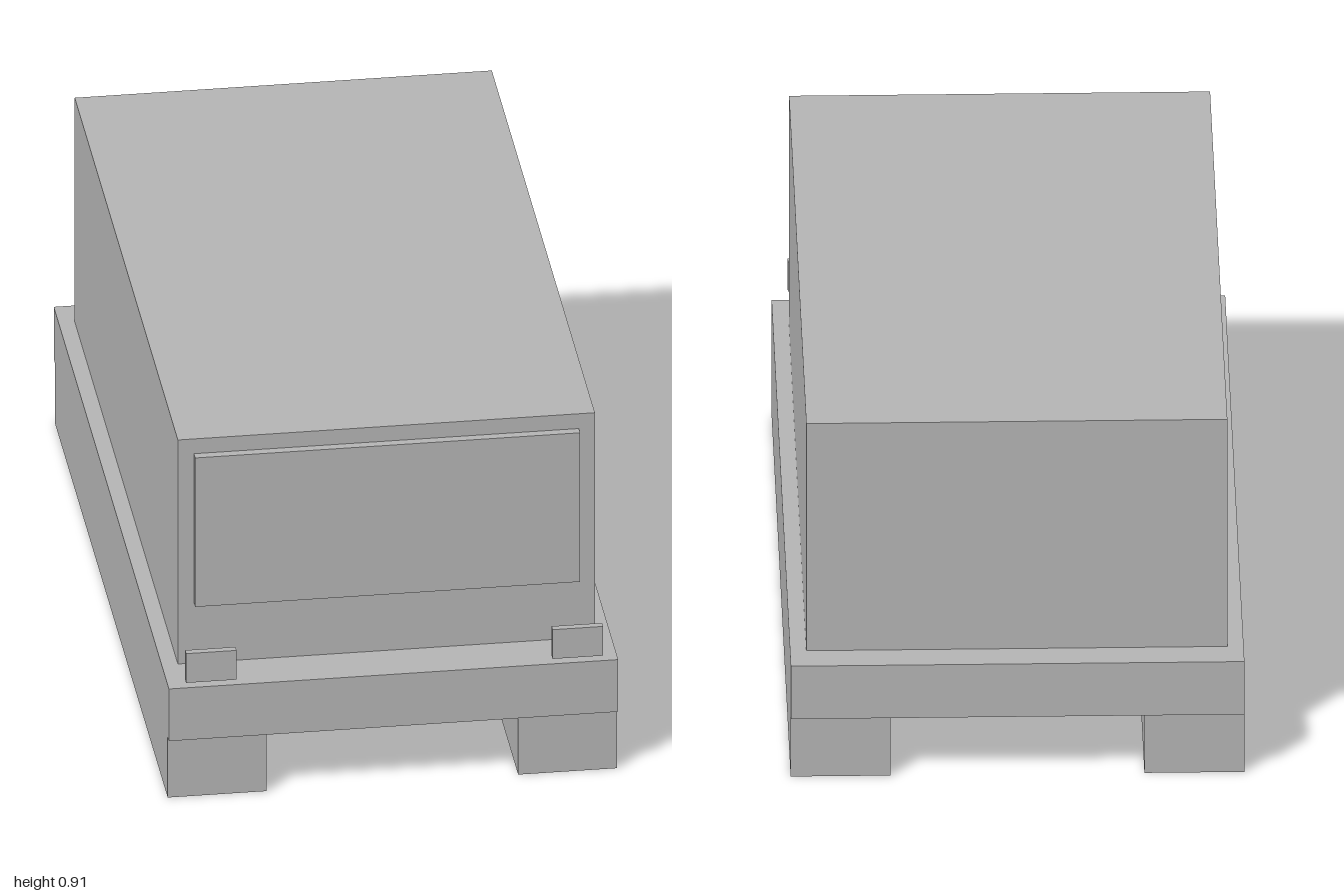
import * as THREE from 'three';

export function createModel() {
  const group = new THREE.Group();
  const grey = new THREE.MeshStandardMaterial({ color: 0xb4b4b4 });
  grey.name = 'grey';

  // Box given by its extents along each axis
  function box(name, [x0, x1], [y0, y1], [z0, z1]) {
    const mesh = new THREE.Mesh(new THREE.BoxGeometry(x1 - x0, y1 - y0, z1 - z0), grey);
    mesh.position.set((x0 + x1) / 2, (y0 + y1) / 2, (z0 + z1) / 2);
    mesh.name = name;
    group.add(mesh);
  }

  // Hull and deck
  box('deck', [-0.543, 0.543], [0.163, 0.304], [-1, 0.982]);
  box('body', [-0.504, 0.504], [0.304, 0.91], [-0.917, 0.858]);
  box('windscreen', [-0.465, 0.465], [0.467, 0.87], [0.858, 0.88]);

  // Tracks and headlights, one on each side
  for (const [side, s] of [['left', 1], ['right', -1]]) {
    const span = (a, b) => (s > 0 ? [a, b] : [-b, -a]);
    box(side + 'Track', span(0.304, 0.543), [0, 0.163], [-0.98, 0.962]);
    box(side + 'Headlight', span(0.382, 0.504), [0.327, 0.406], [0.982, 1]);
  }
  return group;
}
